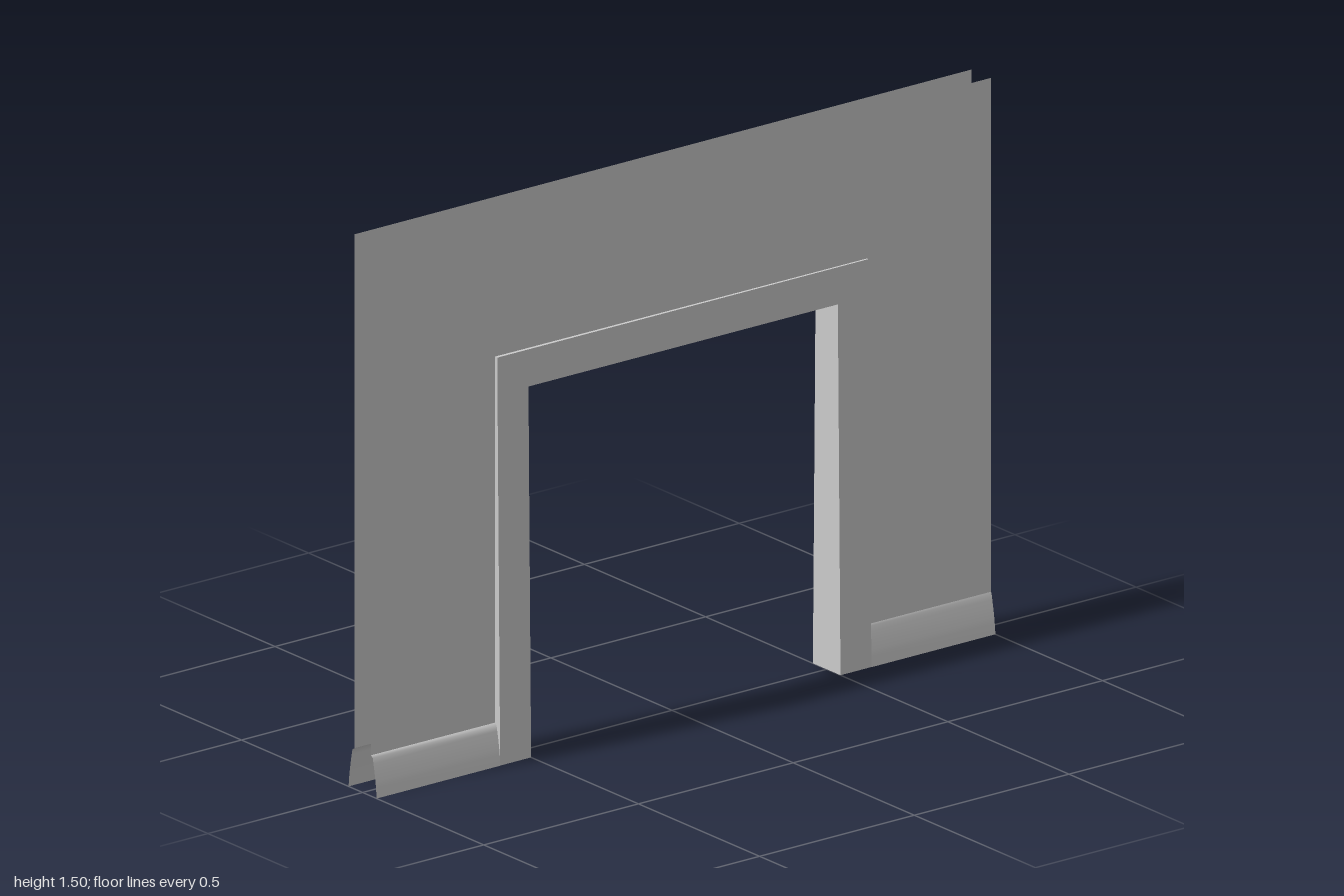
import * as THREE from 'three';

const material = new THREE.MeshStandardMaterial({ color: 0xcccccc, side: THREE.DoubleSide });

// Wall sheets splay slightly towards one end; the door trim leans outward at the floor.
const wallZ = (x) => 0.037 + 0.003 * x;
const trimZ = (y) => 0.057 - 0.012 * (y / 1.1);

function part(name, geometry) {
  const mesh = new THREE.Mesh(geometry, material);
  mesh.name = name;
  return mesh;
}

// Ribbon of quads between two rows of points
function ribbon(rowA, rowB, smooth) {
  const points = [];
  const index = [];
  rowA.forEach((a, i) => {
    points.push(new THREE.Vector3(...a), new THREE.Vector3(...rowB[i]));
    if (i > 0) {
      const k = 2 * (i - 1);
      index.push(k, k + 1, k + 2, k + 1, k + 3, k + 2);
    }
  });
  let geometry = new THREE.BufferGeometry().setFromPoints(points);
  geometry.setIndex(index);
  if (!smooth) geometry = geometry.toNonIndexed();
  geometry.computeVertexNormals();
  return geometry;
}

// Outline of an arch-shaped path: up, across and down
const archPath = (w, h, base) => [[-w, base], [-w, h], [w, h], [w, base]];

// Flat arch panel between two paths, its depth set by a rule
function archPanel(outer, inner, depth) {
  const corners = [...outer, ...inner.slice().reverse()];
  const shape = new THREE.Shape(corners.map(([x, y]) => new THREE.Vector2(x, y)));
  const geometry = new THREE.ShapeGeometry(shape);
  const p = geometry.attributes.position;
  for (let i = 0; i < p.count; i++) p.setZ(i, depth(p.getX(i), p.getY(i)));
  geometry.computeVertexNormals();
  return geometry;
}

// One face of the wall, looking towards +z; mirror is -1 for the turned back face
function wallFace(mirror) {
  const face = new THREE.Group();
  const depth = (x) => wallZ(x * mirror);

  face.add(part('wallPanel', archPanel(archPath(1, 1.5, 0.11), archPath(0.6, 1.1, 0.11), depth)));
  face.add(part('doorTrim', archPanel(archPath(0.6, 1.1, 0), archPath(0.5, 1, 0), (x, y) => trimZ(y))));

  // Narrow outer edge of the trim
  const edge = archPath(0.6, 1.1, 0);
  face.add(part('trimEdge', ribbon(
    edge.map(([x, y]) => [x, y, depth(x)]),
    edge.map(([x, y]) => [x, y, trimZ(y)]), false)));

  // Skirting boards with a rounded upper lip: [depth, height] from top to floor
  const profile = [[0.037, 0.11], [0.042, 0.105], [0.045, 0.09], [0.049, 0.07], [0.053, 0.045], [0.055, 0.03], [0.058, 0]];
  for (const [name, x0, x1] of [['skirtingRight', -1, -0.6], ['skirtingLeft', 0.6, 1]]) {
    const row = (x) => profile.map(([z, y], i) => [x, y, i === 0 ? depth(x) : z]);
    face.add(part(name, ribbon(row(x1), row(x0), true)));
  }
  return face;
}

export function createModel() {
  const model = new THREE.Group();
  model.name = 'doorwayWall';

  const front = wallFace(1);
  front.name = 'frontFace';
  const back = wallFace(-1);
  back.name = 'backFace';
  back.rotation.y = Math.PI;
  model.add(front, back);

  // Jambs and head lining the opening
  const opening = archPath(0.5, 1, 0);
  model.add(part('doorLining', ribbon(
    opening.map(([x, y]) => [x, y, trimZ(y)]),
    opening.map(([x, y]) => [x, y, -trimZ(y)]), false)));
  return model;
}
